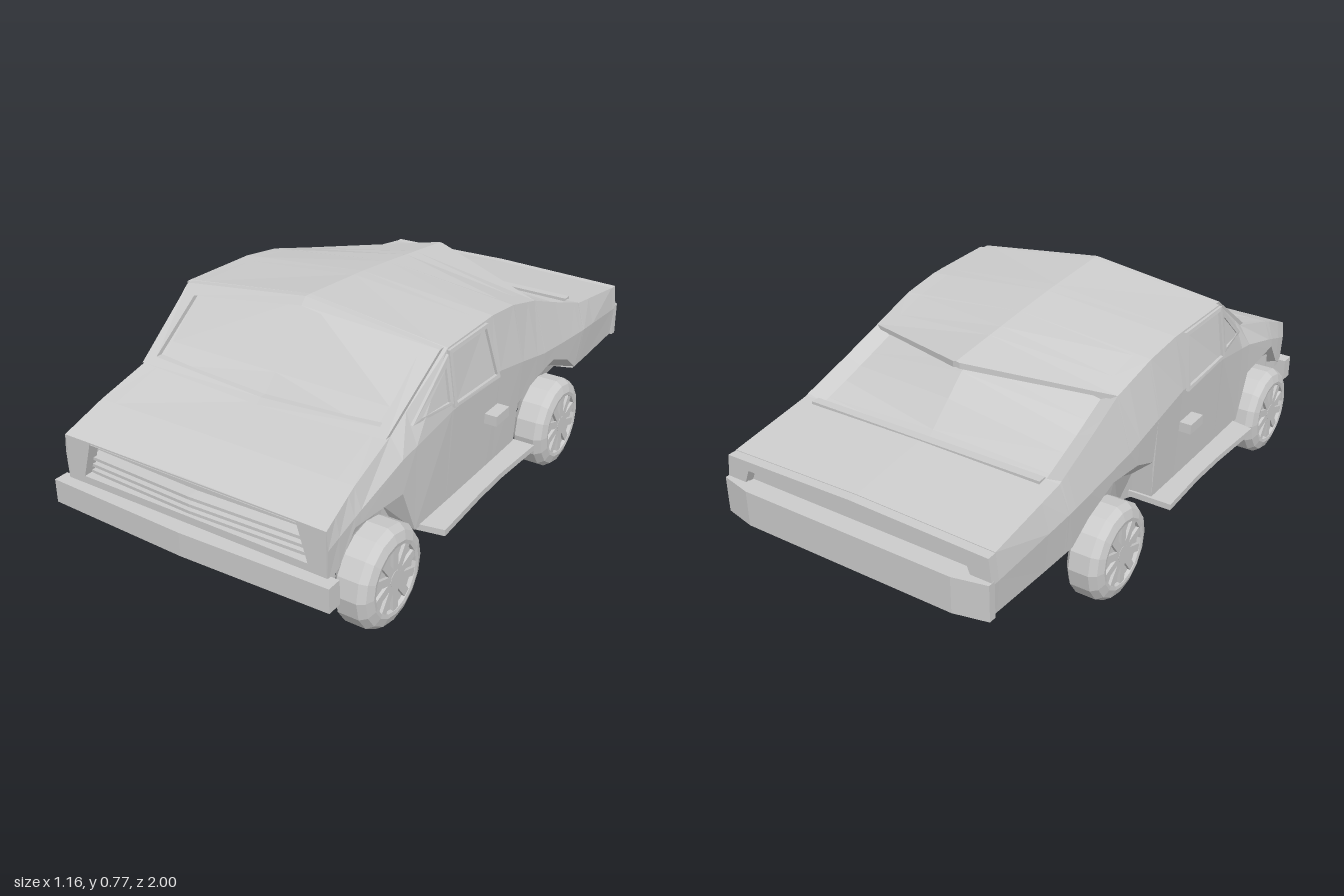
import * as THREE from 'three';

const material = new THREE.MeshStandardMaterial({ color: 0xcccccc, flatShading: true, side: THREE.DoubleSide });
const lerp = THREE.MathUtils.lerp;

function add(parent, name, geometry, x = 0, y = 0, z = 0) {
  const mesh = new THREE.Mesh(geometry, material);
  mesh.name = name;
  mesh.position.set(x, y, z);
  parent.add(mesh);
  return mesh;
}

const toShape = (points) => new THREE.Shape(points.map(([x, y]) => new THREE.Vector2(x, y)));

// Outline with an optional opening, given a thickness along z
function slab(outline, hole, depth) {
  const shape = toShape(outline);
  if (hole) shape.holes.push(toShape(hole));
  return new THREE.ExtrudeGeometry(shape, { depth, bevelEnabled: false });
}

// Plan outline of [x, z] points raised from y0 to y1
function plan(points, y0, y1) {
  return slab(points.map(([x, z]) => [x, -z]), null, y1 - y0).rotateX(-Math.PI / 2).translate(0, y0, 0);
}

// Move every vertex by a rule
function warp(geometry, rule, flip = false) {
  const p = geometry.attributes.position;
  for (let i = 0; i < p.count; i++) p.setXYZ(i, ...rule(p.getX(i), p.getY(i), p.getZ(i)));
  if (flip) {
    const index = [];
    for (let i = 0; i < p.count; i += 3) index.push(i, i + 2, i + 1);
    geometry.setIndex(index);
  }
  geometry.computeVertexNormals();
  return geometry;
}

// Skin over closed rings ordered from front to back, closed at the back
function loft(rings) {
  const n = rings[0].length, index = [];
  for (let s = 0; s < rings.length - 1; s++) {
    for (let i = 0; i < n; i++) {
      const a = s * n + i, b = s * n + (i + 1) % n, c = b + n, d = a + n;
      // Mirror the diagonals so both halves fold alike
      if (i < n / 2) index.push(a, d, c, a, c, b);
      else index.push(a, d, b, d, c, b);
    }
  }
  const last = (rings.length - 1) * n;
  for (let i = 1; i < n - 1; i++) index.push(last, last + i + 1, last + i);
  const geometry = new THREE.BufferGeometry();
  geometry.setAttribute('position', new THREE.Float32BufferAttribute(rings.flat(2), 3));
  geometry.setIndex(index);
  const flat = geometry.toNonIndexed();
  flat.computeVertexNormals();
  return flat;
}

// Underside: z, floor half width, floor height, sill half width, sill or arch height
const lower = [
  [0.95, 0.40, 0.25, 0.48, 0.25], [0.90, 0.40, 0.22, 0.485, 0.28], [0.83, 0.40, 0.21, 0.49, 0.37],
  [0.60, 0.41, 0.18, 0.50, 0.36], [0.53, 0.40, 0.16, 0.50, 0.20], [0.35, 0.37, 0.12, 0.50, 0.18],
  [0.10, 0.37, 0.13, 0.50, 0.18], [-0.10, 0.38, 0.145, 0.50, 0.20], [-0.11, 0.38, 0.146, 0.505, 0.34],
  [-0.22, 0.40, 0.17, 0.51, 0.385], [-0.37, 0.40, 0.20, 0.51, 0.40], [-0.50, 0.40, 0.23, 0.505, 0.345],
  [-0.58, 0.42, 0.265, 0.50, 0.285], [-0.71, 0.44, 0.21, 0.49, 0.275], [-0.93, 0.44, 0.26, 0.48, 0.27],
];
// Upper body: z, belt half width, belt height, shoulder half width, shoulder height, centre height
const upper = [
  [0.95, 0.485, 0.36, 0.48, 0.42, 0.425], [0.80, 0.49, 0.41, 0.468, 0.478, 0.48],
  [0.60, 0.498, 0.47, 0.456, 0.535, 0.515], [0.34, 0.514, 0.52, 0.487, 0.715, 0.775],
  [0.05, 0.517, 0.53, 0.48, 0.71, 0.755], [-0.10, 0.517, 0.50, 0.475, 0.69, 0.74],
  [-0.28, 0.515, 0.46, 0.465, 0.64, 0.72], [-0.285, 0.515, 0.46, 0.465, 0.638, 0.69],
  [-0.43, 0.512, 0.44, 0.472, 0.583, 0.655], [-0.61, 0.51, 0.42, 0.48, 0.52, 0.495],
  [-0.62, 0.51, 0.42, 0.48, 0.515, 0.52], [-0.93, 0.49, 0.38, 0.48, 0.467, 0.477],
];

// Row of a table at any z
function sample(table, z) {
  let i = 0;
  while (i < table.length - 2 && table[i + 1][0] > z) i++;
  const a = table[i], b = table[i + 1], t = (a[0] - z) / (a[0] - b[0]);
  return a.map((v, k) => lerp(v, b[k], t));
}

function bodyRing(z) {
  const [, fx, fy, sx, sy] = sample(lower, z);
  const [, bx, by, tx, ty, cy] = sample(upper, z);
  // The rear glass sits below its pillars
  const rearGlass = z < -0.283 && z > -0.615;
  const innerY = rearGlass ? ty - 0.022 : lerp(cy, ty, 0.88);
  const half = [[fx, fy], [0.43, lerp(fy, sy, 0.65)], [sx, sy], [bx, by], [tx, ty], [tx * 0.88, innerY]];
  return [[0, fy, z], ...half.map(([x, y]) => [x, y, z]), [0, cy, z],
    ...half.reverse().map(([x, y]) => [-x, y, z])];
}

function makeWheel() {
  const wheel = new THREE.Group();
  const profile = [[0, -0.057], [0.14, -0.057], [0.16, -0.04], [0.16, 0.03], [0.145, 0.052],
    [0.118, 0.062], [0.106, 0.06], [0.104, 0.048], [0, 0.048]];
  add(wheel, 'tyre', new THREE.LatheGeometry(profile.map(([r, y]) => new THREE.Vector2(r, y)), 16).rotateZ(-Math.PI / 2));
  add(wheel, 'hub', new THREE.CylinderGeometry(0.028, 0.03, 0.012, 10).rotateZ(-Math.PI / 2), 0.053);
  for (let i = 0; i < 10; i++) {
    const spoke = new THREE.BoxGeometry(0.01, 0.085, 0.026).translate(0.053, 0.063, 0);
    add(wheel, 'spoke', spoke.rotateX(i * Math.PI / 5));
  }
  return wheel;
}

export function createModel() {
  const car = new THREE.Group();
  car.name = 'car';

  // Body shell
  const stations = [...new Set([...lower, ...upper].map((row) => row[0]))].sort((a, b) => b - a);
  add(car, 'body', loft(stations.map(bodyRing)));

  // Pointed rear overhang of the roof
  const overhangRing = (x, y, cy, z, thickness) => [[x, y, z], [0, cy, z], [-x, y, z],
    [-x, y - thickness, z], [0, cy - thickness, z], [x, y - thickness, z]];
  add(car, 'roofOverhang', loft([overhangRing(0.465, 0.64, 0.72, -0.28, 0.014),
    overhangRing(0.012, 0.698, 0.70, -0.455, 0.02)]));
  add(car, 'rearCowl', new THREE.BoxGeometry(0.86, 0.016, 0.03), 0, 0.513, -0.632);

  // Windscreen surround lying on the sloping, folded glass
  const screen = slab(
    [[-0.456, 0.535], [0, 0.515], [0.456, 0.535], [0.475, 0.715], [0, 0.775], [-0.475, 0.715]],
    [[-0.42, 0.553], [0, 0.533], [0.42, 0.553], [0.42, 0.695], [0, 0.752], [-0.42, 0.695]], 0.025);
  add(car, 'windscreenFrame', warp(screen, (x, y, d) => {
    const side = Math.abs(x) / 0.475;
    const low = 0.515 + 0.02 * side, high = 0.775 - 0.06 * side;
    return [x, y, lerp(0.60, 0.34, (y - low) / (high - low)) + d];
  }));

  // Nose: open grille surround, back panel, sloping hood lining and folded slats
  add(car, 'grilleSurround', slab([[-0.478, 0.25], [0.478, 0.25], [0.478, 0.42], [-0.478, 0.42]],
    [[-0.415, 0.295], [0.415, 0.295], [0.38, 0.415], [-0.38, 0.415]], 0.04), 0, 0, 0.909);
  add(car, 'grillePanel', new THREE.BoxGeometry(0.92, 0.17, 0.01), 0, 0.34, 0.865);
  add(car, 'hoodLining', new THREE.BoxGeometry(0.80, 0.006, 0.09), 0, 0.393, 0.907).rotation.x = -0.5;
  for (const y of [0.305, 0.328, 0.353]) {
    for (const s of [-1, 1]) {
      const slat = add(car, 'grilleSlat', new THREE.BoxGeometry(0.42, 0.01, 0.04), s * 0.208, y, 0.915);
      slat.rotation.set(0, s * 0.07, -s * 0.03);
    }
  }

  // Bumpers and the slotted tail panel
  add(car, 'frontBumper', plan([[-0.51, 0.935], [0.51, 0.935], [0.51, 0.985], [0, 1], [-0.51, 0.985]], 0.19, 0.27));
  add(car, 'rearBumper', plan([[-0.49, -0.95], [-0.49, -0.975], [-0.38, -1], [0.38, -1], [0.49, -0.975], [0.49, -0.95]], 0.27, 0.39));
  add(car, 'tailPanel', slab([[-0.48, 0.27], [0.48, 0.27], [0.49, 0.38], [0.48, 0.465], [0, 0.475], [-0.48, 0.465], [-0.49, 0.38]],
    [[-0.42, 0.385], [0.42, 0.385], [0.40, 0.435], [-0.40, 0.435]], 0.033), 0, 0, -0.962);

  // Side windows, skirts, handles and wheels on both sides
  const windows = [
    [[[0.53, 0.545], [0.35, 0.545], [0.35, 0.70]], [[0.49, 0.555], [0.365, 0.555], [0.365, 0.665]]],
    [[[0.345, 0.53], [0.07, 0.52], [0.10, 0.705], [0.345, 0.71]], [[0.33, 0.54], [0.085, 0.533], [0.113, 0.693], [0.33, 0.697]]],
  ];
  for (const s of [-1, 1]) {
    for (const [outline, hole] of windows) {
      add(car, 'sideWindowFrame', warp(slab(outline, hole, 0.016), (z, y, d) => {
        const [, bx, by, tx, ty] = sample(upper, z);
        return [s * (lerp(bx, tx, (y - by) / (ty - by)) + d - 0.007), y, z];
      }, s > 0));
    }
    add(car, 'sideSkirt', plan([[0.42, 0.52], [0.58, 0.49], [0.568, 0.25], [0.566, 0.1], [0.575, -0.11], [0.42, -0.11]]
      .map(([x, z]) => [s * x, z]), 0.184, 0.205));
    add(car, 'doorHandle', new THREE.BoxGeometry(0.06, 0.034, 0.085), s * 0.523, 0.397, 0.092);
    for (const [name, z] of [['frontWheel', 0.72], ['rearWheel', -0.37]]) {
      const wheel = makeWheel();
      wheel.name = name;
      wheel.position.set(s * 0.495, 0.16, z);
      if (s < 0) wheel.rotation.y = Math.PI;
      car.add(wheel);
    }
  }
  return car;
}
